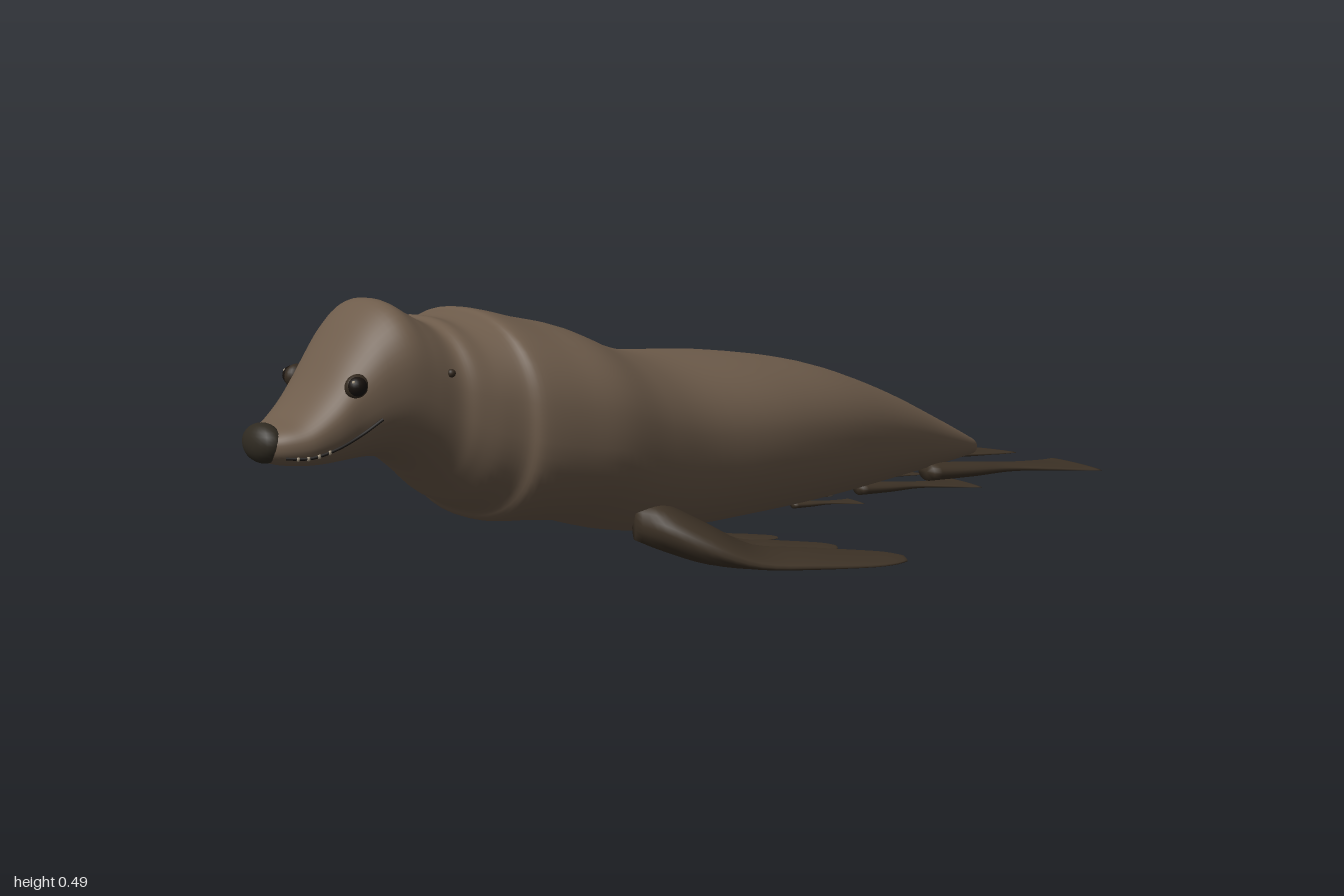
import * as THREE from 'three';

const mat = (name, color, side = THREE.FrontSide) => {
  const m = new THREE.MeshStandardMaterial({ color, side });
  m.name = name;
  return m;
};

// Body stations, tail to nose: z, half width, bottom y, top y
const STATIONS = [
  [-0.785, 0.002, 0.057, 0.061], [-0.775, 0.02, 0.046, 0.076], [-0.72, 0.052, 0.045, 0.1],
  [-0.6, 0.1, 0.042, 0.152], [-0.4, 0.167, 0.036, 0.236], [-0.2, 0.218, 0.03, 0.302],
  [0, 0.243, 0.028, 0.336], [0.2, 0.245, 0.03, 0.354], [0.32, 0.253, 0.048, 0.383],
  [0.42, 0.256, 0.078, 0.424], [0.5, 0.238, 0.09, 0.443], [0.57, 0.216, 0.098, 0.461],
  [0.595, 0.194, 0.118, 0.457], [0.635, 0.176, 0.14, 0.45], [0.665, 0.16, 0.165, 0.455],
  [0.69, 0.144, 0.185, 0.452], [0.73, 0.137, 0.215, 0.472], [0.77, 0.129, 0.232, 0.491],
  [0.81, 0.115, 0.236, 0.463], [0.85, 0.1, 0.234, 0.413], [0.89, 0.09, 0.233, 0.357],
  [0.93, 0.077, 0.236, 0.318], [0.965, 0.056, 0.243, 0.302], [0.985, 0.032, 0.255, 0.29],
  [0.99, 0.002, 0.27, 0.274],
];
const spline = k => new THREE.CatmullRomCurve3(
  STATIONS.map(s => new THREE.Vector3(s[1], s[k], s[0])), false, 'catmullrom', 0.5);
const lower = spline(2), upper = spline(3), POWER = 2.3;

// Cross-section of the body at spline parameter u
function section(u) {
  const a = lower.getPoint(u), b = upper.getPoint(u);
  return { z: a.z, w: Math.max(a.x, 0.001), mid: a.y + (b.y - a.y) * 0.52, lo: a.y, hi: b.y };
}

// Point on the skin at a given z and y
function skin(z, y, side) {
  let a = 0, b = 1;
  for (let i = 0; i < 30; i++) {
    const m = (a + b) / 2;
    if (section(m).z < z) a = m; else b = m;
  }
  const s = section(a);
  const r = Math.min(1, Math.abs(y - s.mid) / (y > s.mid ? s.hi - s.mid : s.mid - s.lo));
  return new THREE.Vector3(side * s.w * Math.pow(1 - Math.pow(r, POWER), 1 / POWER), y, z);
}

// Smooth skin over closed rings of equal length
function loft(rings) {
  const n = rings[0].length, index = [];
  for (let i = 0; i < rings.length - 1; i++) {
    for (let j = 0; j < n; j++) {
      const a = i * n + j, b = i * n + (j + 1) % n;
      index.push(a, b, b + n, a, b + n, a + n);
    }
  }
  const g = new THREE.BufferGeometry().setFromPoints(rings.flat());
  g.setIndex(index);
  g.computeVertexNormals();
  return g;
}

function bodyGeometry() {
  const rings = [], n = 48, steps = 120;
  const bend = v => Math.sign(v) * Math.pow(Math.abs(v), 2 / POWER);
  for (let i = 0; i <= steps; i++) {
    const s = section(i / steps), ring = [];
    for (let j = 0; j < n; j++) {
      const a = j / n * Math.PI * 2, c = bend(Math.cos(a)), v = bend(Math.sin(a));
      ring.push(new THREE.Vector3(s.w * c, s.mid + v * (v > 0 ? s.hi - s.mid : s.mid - s.lo), s.z));
    }
    rings.push(ring);
  }
  return loft(rings);
}

// Flat limb from stations [x, y, z, half width, half thickness]; across = width direction
function flipperGeometry(stations, across, side) {
  const n = 20;
  const path = new THREE.CatmullRomCurve3(
    stations.map(s => new THREE.Vector3(s[0], s[1], s[2])), false, 'catmullrom', 0.5);
  const size = new THREE.CatmullRomCurve3(
    stations.map(s => new THREE.Vector3(s[3], s[4], 0)), false, 'catmullrom', 0.5);
  const rings = [], steps = 28;
  for (let i = 0; i <= steps; i++) {
    const c = path.getPoint(i / steps), s = size.getPoint(i / steps), ring = [];
    for (let j = 0; j < n; j++) {
      const a = j / n * Math.PI * 2 * side;
      const p = c.clone().addScaledVector(across, s.x * Math.cos(a));
      p.y = Math.max(0.003, p.y + s.y * Math.sin(a));
      p.x *= side;
      ring.push(p);
    }
    rings.push(ring);
  }
  // close both ends
  const flat = r => {
    const c = r.reduce((t, p) => t.add(p), new THREE.Vector3()).divideScalar(n);
    return r.map(() => c.clone());
  };
  return loft([flat(rings[0]), ...rings, flat(rings[steps])]);
}

const FRONT = [
  [0.16, 0.085, 0.335, 0.04, 0.035], [0.2, 0.075, 0.305, 0.062, 0.042], [0.255, 0.045, 0.25, 0.075, 0.034],
  [0.31, 0.02, 0.185, 0.078, 0.015], [0.37, 0.015, 0.108, 0.075, 0.011], [0.425, 0.012, 0.035, 0.064, 0.007],
  [0.452, 0.011, -0.003, 0.048, 0.005], [0.468, 0.01, -0.026, 0.022, 0.003],
];
const HIND = [
  [0.08, 0.045, -0.54, 0.028, 0.018], [0.09, 0.037, -0.66, 0.034, 0.015], [0.098, 0.029, -0.77, 0.032, 0.009],
  [0.11, 0.02, -0.87, 0.052, 0.006], [0.122, 0.014, -0.94, 0.07, 0.004], [0.13, 0.012, -0.978, 0.083, 0.003],
];

export function createModel() {
  const model = new THREE.Group();
  model.name = 'seal';
  const fur = mat('brown fur', 0x6e5c4b);
  const flipperSkin = mat('dark flipper skin', 0x3d3226, THREE.DoubleSide);
  const noseSkin = mat('nose skin', 0x2f2a21);
  const eyeRim = mat('eye rim', 0x33291f);
  const eyeBlack = mat('eye black', 0x17110d);
  const pale = mat('pale ivory', 0xa89a84);

  const add = (name, geometry, material, parent = model) => {
    const m = new THREE.Mesh(geometry, material);
    m.name = name;
    parent.add(m);
    return m;
  };
  const ball = (name, material, p, r, sx = 1, sy = 1, sz = 1) => {
    const m = add(name, new THREE.SphereGeometry(r, 20, 14), material);
    m.position.copy(p);
    m.scale.set(sx, sy, sz);
    return m;
  };

  add('body', bodyGeometry(), fur);
  ball('nose', noseSkin, new THREE.Vector3(0, 0.277, 0.974), 0.045, 1, 0.72, 0.58);

  for (const side of [1, -1]) {
    const label = side > 0 ? 'left' : 'right';

    // Full-size flippers, with smaller nested pairs under the belly
    for (const [rank, scale] of [['Outer', 1], ['Middle', 0.67], ['Inner', 0.37]]) {
      const g = new THREE.Group();
      g.name = label + rank + 'Flippers';
      g.scale.setScalar(scale);
      model.add(g);
      add('frontFlipper', flipperGeometry(FRONT, new THREE.Vector3(-0.8, 0, -0.6), side), flipperSkin, g);
      add('hindFlipper', flipperGeometry(HIND, new THREE.Vector3(-1, 0, -0.25), side), flipperSkin, g);
    }

    // Eye: rim, dark ball and glint
    const eye = skin(0.852, 0.362, side);
    eye.x -= side * 0.008;
    ball(label + 'EyeRim', eyeRim, eye, 0.022, 0.75, 0.95, 1);
    ball(label + 'Eye', eyeBlack, eye.clone().add(new THREE.Vector3(side * 0.006, 0.002, 0.005)), 0.016);
    ball(label + 'EyeGlint', pale, eye.clone().add(new THREE.Vector3(side * 0.012, 0.01, 0.015)), 0.003);

    // Ear hole
    ball(label + 'Ear', eyeRim, skin(0.705, 0.375, side), 0.007);

    // Mouth line and small teeth along it
    const line = [[0.965, 0.257], [0.93, 0.256], [0.89, 0.268], [0.85, 0.288], [0.82, 0.31]]
      .map(([z, y]) => skin(z, y, side));
    const mouth = new THREE.CatmullRomCurve3(line);
    add(label + 'Mouth', new THREE.TubeGeometry(mouth, 24, 0.003, 6), eyeBlack);
    for (const t of [0.12, 0.22, 0.32, 0.42]) {
      ball(label + 'Tooth', pale, mouth.getPoint(t), 0.0035, 1, 1.3, 1);
    }
  }
  return model;
}
